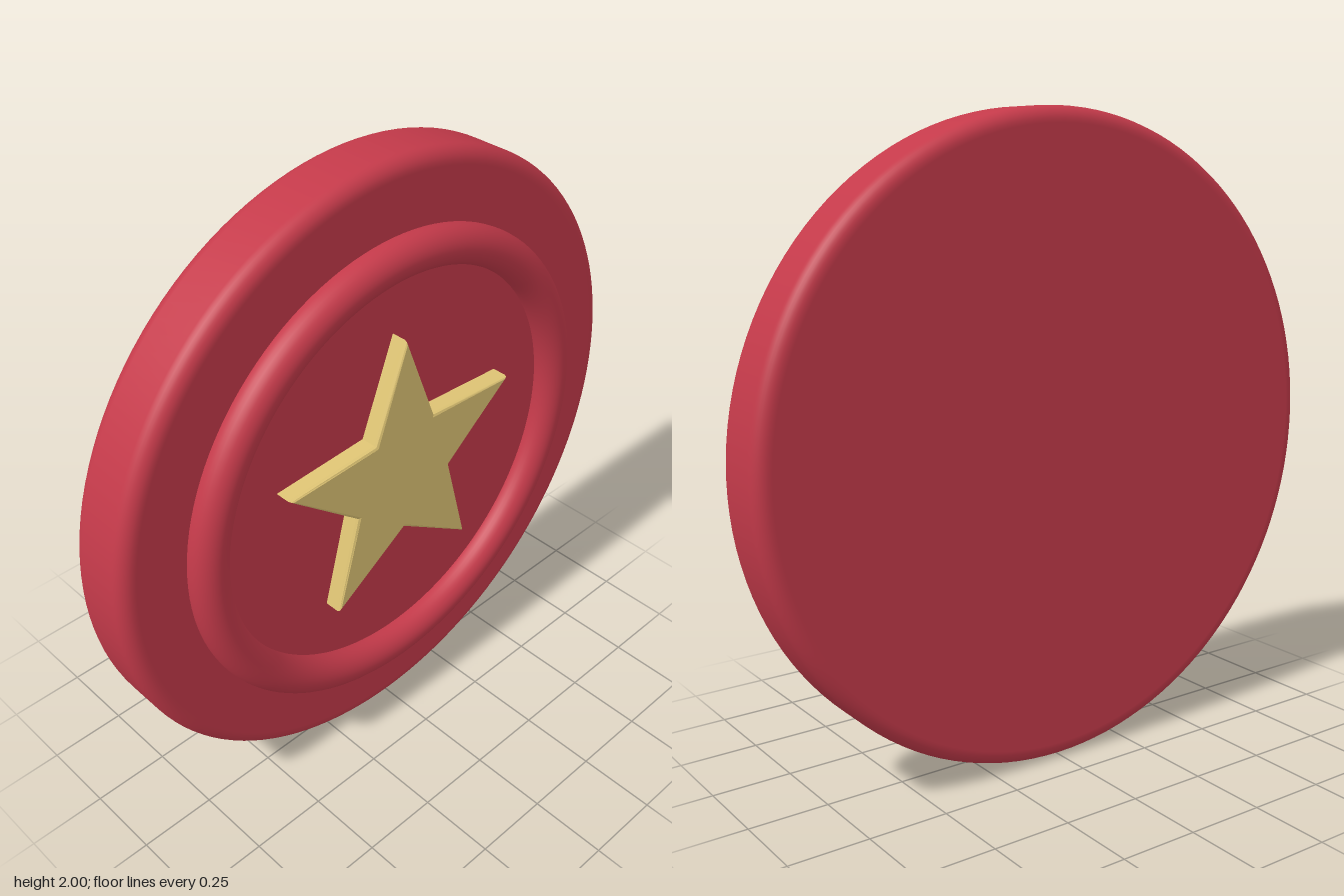
import * as THREE from 'three';

export function createModel() {
  const group = new THREE.Group();
  const red = new THREE.MeshStandardMaterial({ color: 0xc43a4a });
  red.name = 'red';
  const gold = new THREE.MeshStandardMaterial({ color: 0xdec474 });
  gold.name = 'gold';

  const add = (name, geometry, material, z) => {
    const mesh = new THREE.Mesh(geometry, material);
    mesh.name = name;
    mesh.position.set(0, 1, z);
    group.add(mesh);
  };

  // Disc: rounded-edge profile turned around the z axis
  const back = -0.145, front = 0.072, r = 0.045;
  const profile = [new THREE.Vector2(0, back), new THREE.Vector2(1 - r - 0.005, back)];
  const corner = (y, from) => {
    for (let i = 0; i <= 8; i++) {
      const a = from + (i / 8) * Math.PI / 2;
      profile.push(new THREE.Vector2(1 - r + r * Math.cos(a), y + r * Math.sin(a)));
    }
  };
  corner(back + r, -Math.PI / 2);
  corner(front - r, 0);
  profile.push(new THREE.Vector2(1 - r - 0.005, front), new THREE.Vector2(0, front));
  add('disc', new THREE.LatheGeometry(profile, 128).rotateX(Math.PI / 2), red, 0);

  // Raised ring, half sunk into the disc
  add('ring', new THREE.TorusGeometry(0.725, 0.061, 32, 128), red, 0.086);

  // Bevelled five-pointed star
  const star = new THREE.Shape();
  for (let i = 0; i < 10; i++) {
    const radius = i % 2 ? 0.195 : 0.465;
    const a = Math.PI / 2 + i * Math.PI / 5;
    star[i ? 'lineTo' : 'moveTo'](radius * Math.cos(a), radius * Math.sin(a));
  }
  star.closePath();
  add('star', new THREE.ExtrudeGeometry(star, {
    depth: 0.06, bevelEnabled: true, bevelThickness: 0.012, bevelSize: 0.01, bevelSegments: 2,
  }), gold, 0.06);

  return group;
}
